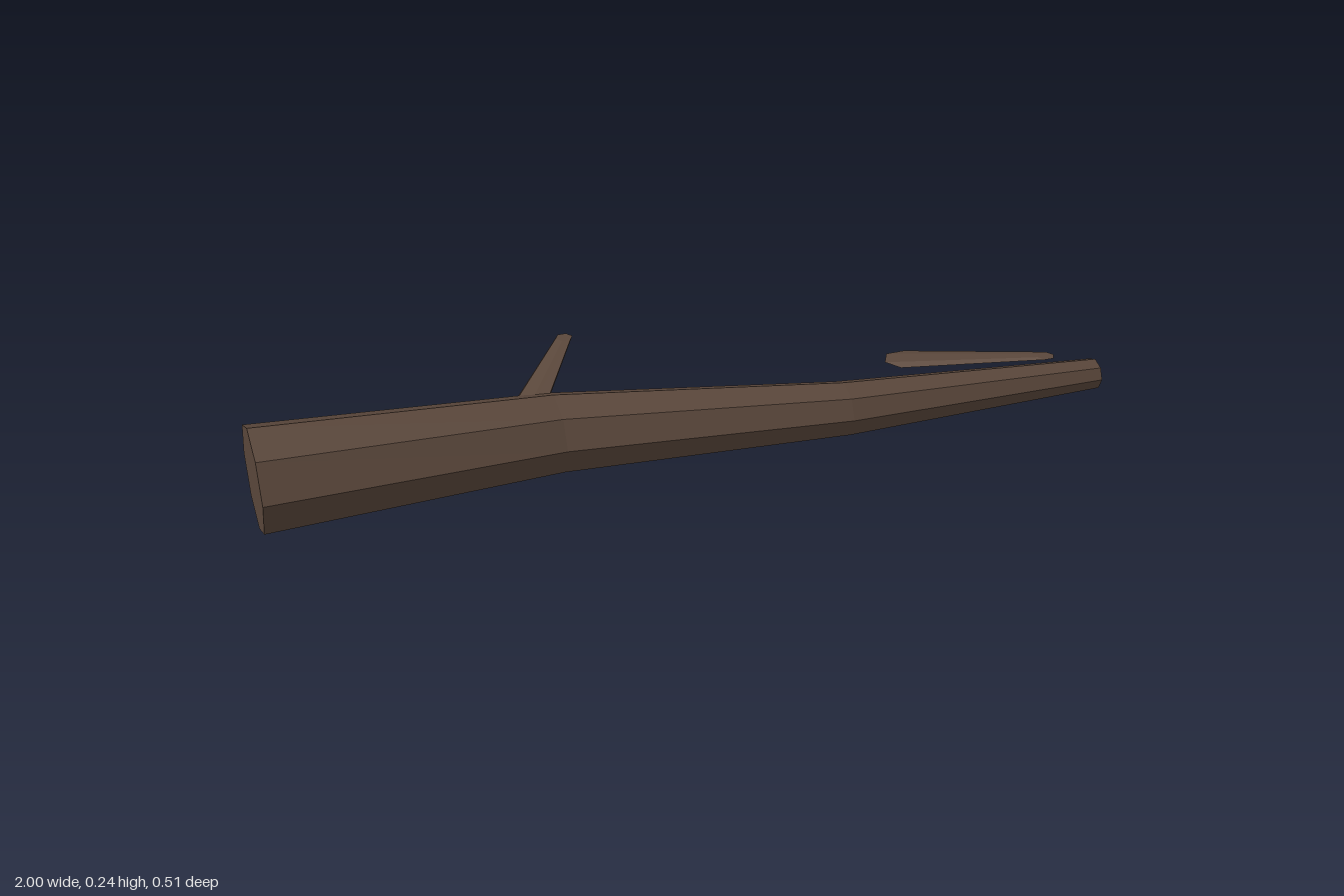
import * as THREE from 'three';

const bark = new THREE.MeshStandardMaterial({ color: 0x5a473b, flatShading: true });
bark.name = 'bark brown';

// Tapered eight-sided trunk along x, resting on the ground and bending in z
function createTrunk() {
  const bend = [0, -0.017, 0.06, 0.067];
  const geometry = new THREE.CylinderGeometry(0.038, 0.122, 2, 8, 3);
  geometry.rotateZ(-Math.PI / 2);
  const p = geometry.attributes.position;
  for (let i = 0; i < p.count; i++) {
    const t = (p.getX(i) + 1) / 2;
    const radius = THREE.MathUtils.lerp(0.122, 0.038, t);
    p.setY(i, p.getY(i) + radius);
    p.setZ(i, p.getZ(i) + bend[Math.round(t * 3)]);
  }
  geometry.computeVertexNormals();
  const mesh = new THREE.Mesh(geometry, bark);
  mesh.name = 'trunk';
  return mesh;
}

// Slanted twig: level hexagonal ends, the upper one shifted sideways
function createTwig(name, base, tip) {
  const height = tip.y - base.y;
  const geometry = new THREE.CylinderGeometry(0.02, 0.045, height, 6);
  geometry.rotateY(Math.PI / 6);
  const p = geometry.attributes.position;
  for (let i = 0; i < p.count; i++) {
    const end = p.getY(i) > 0 ? tip : base;
    p.setXYZ(i, p.getX(i) + end.x, end.y, p.getZ(i) + end.z);
  }
  geometry.computeVertexNormals();
  const mesh = new THREE.Mesh(geometry, bark);
  mesh.name = name;
  return mesh;
}

export function createModel() {
  const group = new THREE.Group();
  group.name = 'fallenBranch';
  const v = (x, y, z) => new THREE.Vector3(x, y, z);
  group.add(
    createTrunk(),
    createTwig('frontTwig', v(0.5, 0.146, 0.025), v(0.75, 0.211, 0.24)),
    createTwig('backTwig', v(-0.4, 0.146, -0.025), v(-0.24, 0.211, -0.24)),
  );
  return group;
}
